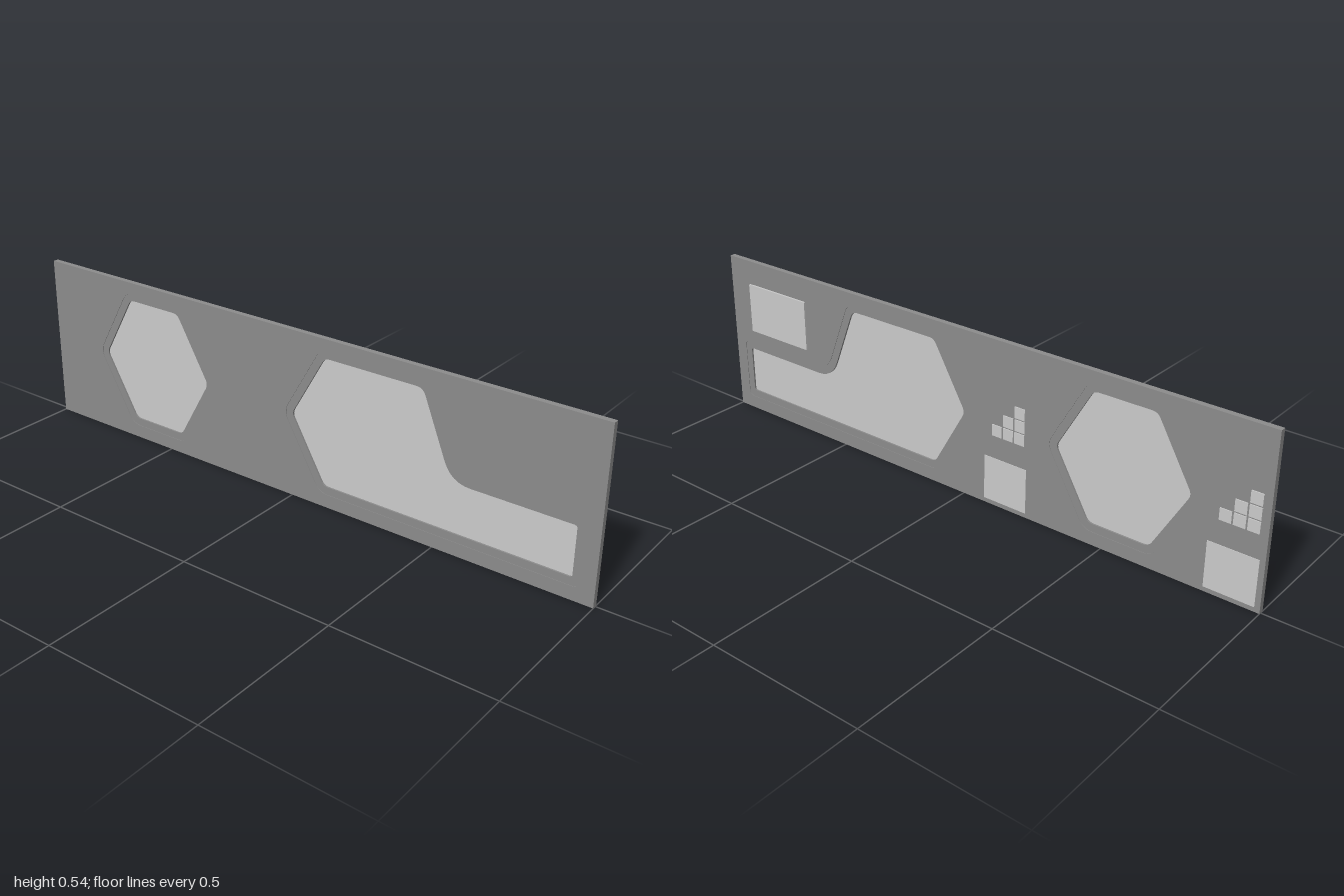
import * as THREE from 'three';

const H = 0.54, BACK = -0.006, FRONT = 0.012;

// Corner lists run anticlockwise: [x, y, rounding], negative rounding marks an inside corner
const hexWindow = [
  [-0.801, 0.274, 0.03], [-0.668, 0.043, 0.03], [-0.438, 0.043, 0.03],
  [-0.305, 0.274, 0.03], [-0.438, 0.505, 0.03], [-0.668, 0.505, 0.03],
];
const steppedWindow = [
  [-0.031, 0.274, 0.03], [0.102, 0.043, 0.03], [0.957, 0.043, 0.022], [0.957, 0.25, 0.022],
  [0.567, 0.25, -0.05], [0.465, 0.505, 0.035], [0.102, 0.505, 0.03],
];

// Move every side of the outline inwards by d
function inset(points, d) {
  const n = points.length;
  return points.map(([x, y, r], i) => {
    const [px, py] = points[(i + n - 1) % n], [qx, qy] = points[(i + 1) % n];
    const a = new THREE.Vector2(-(y - py), x - px).normalize();
    const b = new THREE.Vector2(-(qy - y), qx - x).normalize();
    const k = d / (1 + a.dot(b));
    return [x + (a.x + b.x) * k, y + (a.y + b.y) * k, r > 0 ? Math.max(r - d * 0.5, 0.004) : r - d * 0.5];
  });
}

// Draw the outline with rounded corners
function trace(path, points) {
  const n = points.length;
  points.forEach(([x, y, r], i) => {
    const c = new THREE.Vector2(x, y);
    const toward = (p) => new THREE.Vector2(p[0], p[1]).sub(c).setLength(Math.abs(r)).add(c);
    const a = toward(points[(i + n - 1) % n]), b = toward(points[(i + 1) % n]);
    if (i === 0) path.moveTo(a.x, a.y); else path.lineTo(a.x, a.y);
    path.quadraticCurveTo(x, y, b.x, b.y);
  });
  path.closePath();
  return path;
}

export function createModel() {
  const group = new THREE.Group();
  const dark = new THREE.MeshStandardMaterial({ color: 0x8c8c8c });
  const light = new THREE.MeshStandardMaterial({ color: 0xcccccc });

  const add = (name, geometry, material) => {
    const mesh = new THREE.Mesh(geometry, material);
    mesh.name = name;
    group.add(mesh);
    return mesh;
  };
  const slab = (name, shape, z0, z1, material) => {
    const geometry = new THREE.ExtrudeGeometry(shape, { depth: z1 - z0, bevelEnabled: false, curveSegments: 6 });
    add(name, geometry.translate(0, 0, z0), material);
  };
  // Plate standing out from the back of the wall
  const plate = (name, x0, x1, y0, y1, depth) => {
    const geometry = new THREE.BoxGeometry(x1 - x0, y1 - y0, depth);
    add(name, geometry, light).position.set((x0 + x1) / 2, (y0 + y1) / 2, BACK - depth / 2);
  };

  // Wall panel with two openings
  const wall = new THREE.Shape([[-1, 0], [1, 0], [1, H], [-1, H]].map((p) => new THREE.Vector2(...p)));
  for (const points of [hexWindow, steppedWindow]) wall.holes.push(trace(new THREE.Path(), points));
  slab('wallPanel', wall, BACK, FRONT, dark);

  // Window frames set just below the wall faces, with recessed panes
  for (const [name, points] of [['hexWindow', hexWindow], ['steppedWindow', steppedWindow]]) {
    const inner = inset(points, 0.025);
    const frame = trace(new THREE.Shape(), points);
    frame.holes.push(trace(new THREE.Path(), inner));
    slab(name + 'Frame', frame, BACK + 0.0015, FRONT - 0.0015, dark);
    slab(name + 'Pane', trace(new THREE.Shape(), inner), 0.001, 0.005, light);
  }

  // Large plate on the back
  plate('largeBackPlate', 0.655, 0.912, 0.295, 0.46, 0.006);

  // Two matching sets of a low plate and a staircase of tiles
  for (const dx of [0, -0.75]) {
    plate('lowBackPlate', dx - 0.234, dx - 0.08, 0.015, 0.16, 0.0015);
    for (let col = 0; col < 3; col++) {
      for (let row = 0; row <= col; row++) {
        const x = dx - 0.108 - col * 0.041, y = 0.235 + row * 0.041;
        plate('backTile', x - 0.036, x, y, y + 0.036, 0.003);
      }
    }
  }
  return group;
}
